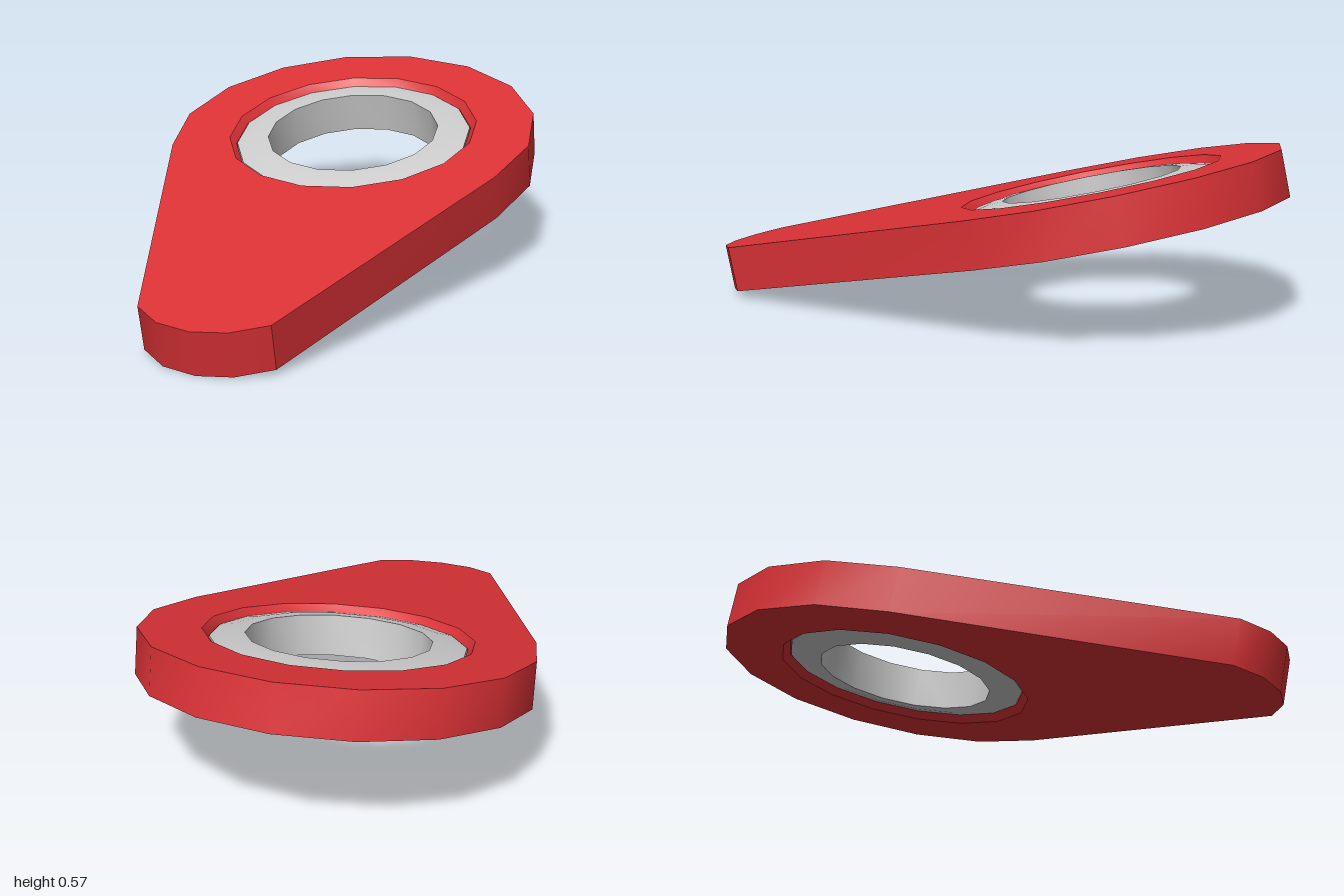
import * as THREE from 'three';
import { mergeGeometries, toCreasedNormals } from 'three/addons/utils/BufferGeometryUtils.js';

const HALF = 0.078;   // half the plate thickness
const HOLE = 0.442;   // radius of the hole at the plate faces
const SIDES = 16;
const CREASE = 0.6;

// Teardrop outline, counter-clockwise seen from above: round head, then narrow tip
function outlinePoints() {
  const points = [];
  for (let i = 0; i <= 10; i++) {
    const a = THREE.MathUtils.degToRad(-20 + i * 22.5);
    points.push([0.647 * Math.cos(a), 0.647 * Math.sin(a)]);
  }
  points.push([-0.165, -1.28], [-0.065, -1.345], [0.055, -1.362], [0.17, -1.335], [0.275, -1.262]);
  return points;
}

// Flat face with the round hole; side is 1 for the top and -1 for the bottom
function plateFace(outline, side) {
  const shape = new THREE.Shape(outline.map(([x, v]) => new THREE.Vector2(x, v * side)));
  const hole = [];
  for (let i = 0; i < SIDES; i++) {
    const a = (i / SIDES) * Math.PI * 2;
    hole.push(new THREE.Vector2(HOLE * Math.cos(a), HOLE * Math.sin(a)));
  }
  shape.holes.push(new THREE.Path(hole));
  const face = new THREE.ShapeGeometry(shape).rotateX(-side * Math.PI / 2).translate(0, side * HALF, 0);
  return face.toNonIndexed().deleteAttribute('uv').deleteAttribute('normal');
}

// Rim around the outline
function plateRim(outline) {
  const pos = [];
  outline.forEach(([ax, av], i) => {
    const [bx, bv] = outline[(i + 1) % outline.length];
    const a = [ax, -HALF, -av], b = [bx, -HALF, -bv];
    const c = [bx, HALF, -bv], d = [ax, HALF, -av];
    pos.push(...a, ...b, ...c, ...a, ...c, ...d);
  });
  return new THREE.BufferGeometry().setAttribute('position', new THREE.Float32BufferAttribute(pos, 3));
}

// Turned surface from [radius, height] pairs
function turned(profile) {
  return new THREE.LatheGeometry(profile.map(([r, y]) => new THREE.Vector2(r, y)), SIDES)
    .toNonIndexed().deleteAttribute('uv').deleteAttribute('normal');
}

function addPart(parent, name, geometry, color) {
  geometry.computeVertexNormals();
  const mesh = new THREE.Mesh(toCreasedNormals(geometry, CREASE), new THREE.MeshStandardMaterial({ color }));
  mesh.name = name;
  parent.add(mesh);
}

export function createModel() {
  const model = new THREE.Group();
  model.name = 'eyePlate';
  const tilted = new THREE.Group();
  tilted.name = 'tiltedAssembly';
  model.add(tilted);

  // Plate with a chamfered hole
  const outline = outlinePoints();
  const holeWall = turned([[HOLE, HALF], [0.42, HALF - 0.026], [0.42, 0.026 - HALF], [HOLE, -HALF]]);
  addPart(tilted, 'plate', mergeGeometries([
    plateFace(outline, 1), plateFace(outline, -1), plateRim(outline), holeWall,
  ]), 0xdb3236);

  // Ring insert, slightly domed towards its bore
  addPart(tilted, 'ringInsert', turned([
    [0.304, -0.07], [0.36, -0.066], [0.417, -0.054],
    [0.417, 0.054], [0.36, 0.066], [0.304, 0.07], [0.304, -0.07],
  ]), 0xcccccc);

  // Head raised, tip resting on the floor
  tilted.rotation.x = THREE.MathUtils.degToRad(12.06);
  tilted.position.set(0, 0.361, -0.348);
  return model;
}
